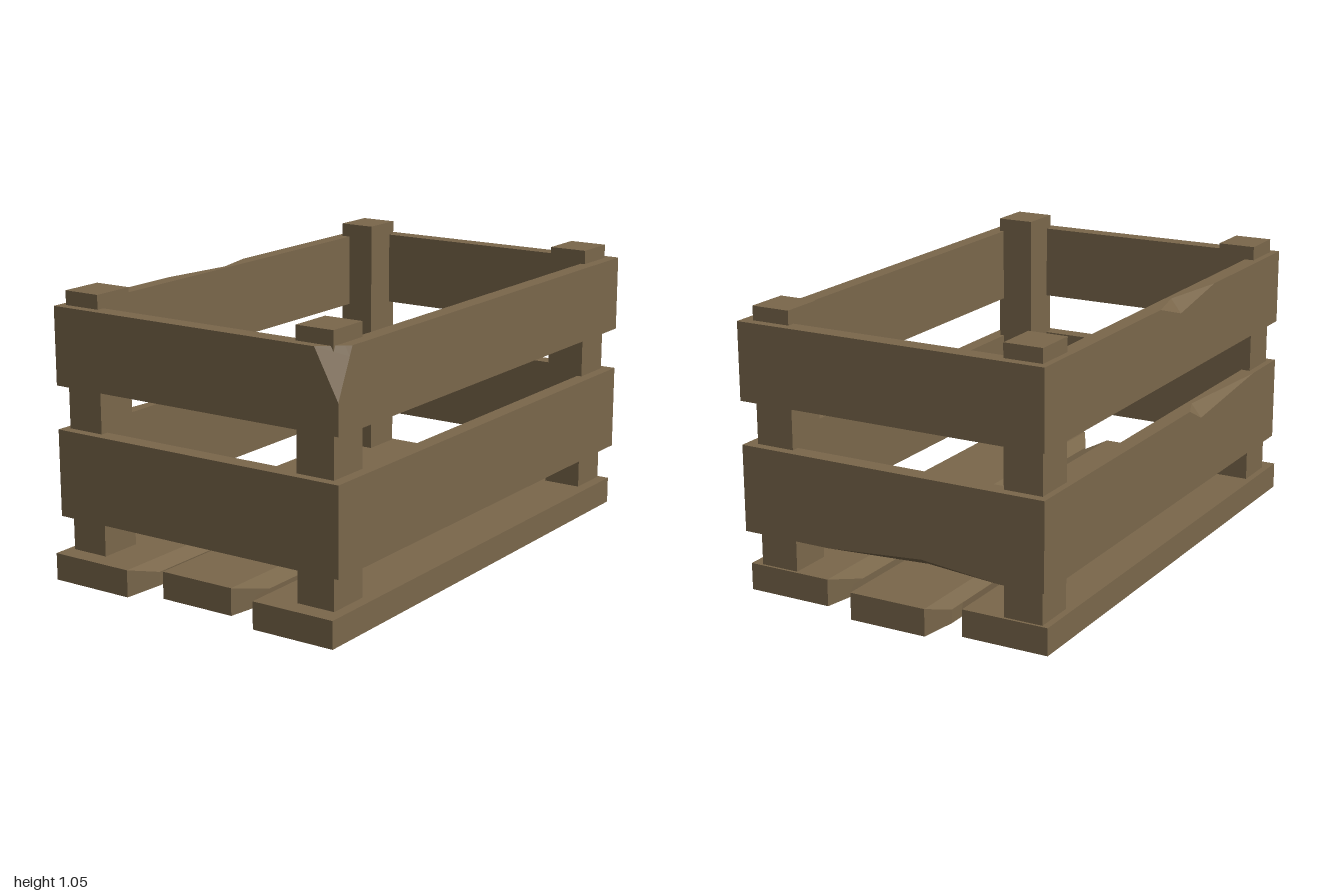
import * as THREE from 'three';
import { ConvexGeometry } from 'three/addons/geometries/ConvexGeometry.js';

const wood = new THREE.MeshStandardMaterial({ color: 0x7a674b });
wood.name = 'weathered wood';

// Overall crate walls
const X = 0.6, Z = 0.965, XI = 0.54, ZI = 0.9;
const UPPER = [0.71, 0.995], LOWER = [0.23, 0.55];

const v = (x, y, z) => new THREE.Vector3(x, y, z);

function add(group, name, geometry) {
  const mesh = new THREE.Mesh(geometry, wood);
  mesh.name = name;
  group.add(mesh);
  return mesh;
}

// Box given by its extents
function box(x0, x1, y0, y1, z0, z1) {
  return new THREE.BoxGeometry(x1 - x0, y1 - y0, z1 - z0)
    .translate((x0 + x1) / 2, (y0 + y1) / 2, (z0 + z1) / 2);
}

// Corners of a box, leaving out the one at +x +y +z
function sevenCorners(x0, x1, y0, y1, z0, z1) {
  const points = [];
  for (const x of [x0, x1]) for (const y of [y0, y1]) for (const z of [z0, z1]) {
    if (!(x === x1 && y === y1 && z === z1)) points.push(v(x, y, z));
  }
  return points;
}

// Board along x, centred, with a splinter missing from its +y +z edge
function notchedBoard(length, height, thick, from, mid, to, depth, drop) {
  const l = length / 2, h = height / 2, t = thick / 2;
  const section = (x, d, e) => [
    v(x, -h, t), v(x, -h, -t), v(x, h, -t), v(x, h, t - d), v(x, h - e, t),
  ];
  const rings = [section(-l, 0, 0), section(from, 0, 0), section(mid, depth, drop),
    section(to, 0, 0), section(l, 0, 0)];
  const out = [];
  const tri = (a, b, c) => {
    const area = b.clone().sub(a).cross(c.clone().sub(a)).length();
    if (area > 1e-7) for (const p of [a, b, c]) out.push(p.x, p.y, p.z);
  };
  for (let i = 0; i < 4; i++) {
    const A = rings[i], B = rings[i + 1];
    for (let j = 0; j < 5; j++) {
      const k = (j + 1) % 5;
      tri(A[j], A[k], B[k]);
      tri(A[j], B[k], B[j]);
    }
  }
  for (let j = 1; j < 4; j++) {
    tri(rings[4][0], rings[4][j], rings[4][j + 1]);
    tri(rings[0][0], rings[0][j + 1], rings[0][j]);
  }
  const g = new THREE.BufferGeometry();
  g.setAttribute('position', new THREE.Float32BufferAttribute(out, 3));
  g.computeVertexNormals();
  return g;
}

// Floor plank; sides are [flat edge x, bevel tip x], equal values give a square side
function floorPlank(left, right, z0, z1) {
  const points = [];
  for (const [flat, tip] of [left, right]) {
    const back = Math.abs(tip - flat) * 1.8;
    for (const y of [0, 0.1]) points.push(v(flat, y, z0), v(flat, y, z1));
    if (back > 0) {
      for (const y of [0.025, 0.075]) points.push(v(tip, y, z0 + back), v(tip, y, z1 - back));
    }
  }
  return new ConvexGeometry(points);
}

export function createModel() {
  const crate = new THREE.Group();
  crate.name = 'crate';

  // Floor: the middle plank is shifted backwards
  add(crate, 'floorPlankRight', floorPlank([-X, -X], [-0.272, -0.213], -0.94, 1));
  add(crate, 'floorPlankMiddle', floorPlank([-0.16, -0.212], [0.138, 0.207], -1, 0.94));
  add(crate, 'floorPlankLeft', floorPlank([0.275, 0.208], [X, X], -0.94, 1));

  // Corner posts
  for (const [x0, x1] of [[-0.575, -0.43], [0.41, 0.558]]) {
    for (const [z0, z1] of [[-0.93, -0.765], [0.765, 0.93]]) {
      add(crate, 'cornerPost', box(x0, x1, 0.095, 1.047, z0, z1));
    }
  }

  // Front slats; the upper one has a broken corner
  add(crate, 'frontSlatLower', box(-X, X, ...LOWER, ZI, Z));
  const cutTop = v(0.582, 0.995, ZI), cutSide = v(X, 0.962, ZI);
  add(crate, 'frontSlatUpper', new ConvexGeometry([
    ...sevenCorners(-X, X, ...UPPER, ZI, Z).filter((p) => !(p.x === X && p.y === UPPER[1])),
    v(0.507, 0.995, Z), v(X, 0.822, Z), cutTop, cutSide,
  ]));

  // Left slats; the break runs slightly into the upper one
  add(crate, 'leftSlatLower', box(XI, X, ...LOWER, -ZI, ZI));
  add(crate, 'leftSlatUpper', new ConvexGeometry([
    ...sevenCorners(XI, X, ...UPPER, -ZI, ZI),
    cutTop, cutSide, v(X, 0.995, 0.885),
  ]));

  // Back slats; the lower one is splintered along its bottom edge
  add(crate, 'backSlatUpper', box(-X, X, ...UPPER, -Z, -ZI));
  const backLower = add(crate, 'backSlatLower',
    notchedBoard(2 * X, 0.32, Z - ZI, -0.43, -0.13, 0.25, 0.045, 0.03));
  backLower.rotation.x = Math.PI;
  backLower.position.set(0, 0.39, -(Z + ZI) / 2);

  // Right slats, both splintered along the top edge
  const rightSlats = [
    ['rightSlatUpper', UPPER, -0.12, 0.05, 0.34],
    ['rightSlatLower', LOWER, 0.15, 0.25, 0.74],
  ];
  for (const [name, [y0, y1], from, mid, to] of rightSlats) {
    const slat = add(crate, name,
      notchedBoard(2 * ZI, y1 - y0, X - XI, from, mid, to, 0.04, 0.05));
    slat.rotation.y = -Math.PI / 2;
    slat.position.set(-(X + XI) / 2, (y0 + y1) / 2, 0);
  }

  return crate;
}
